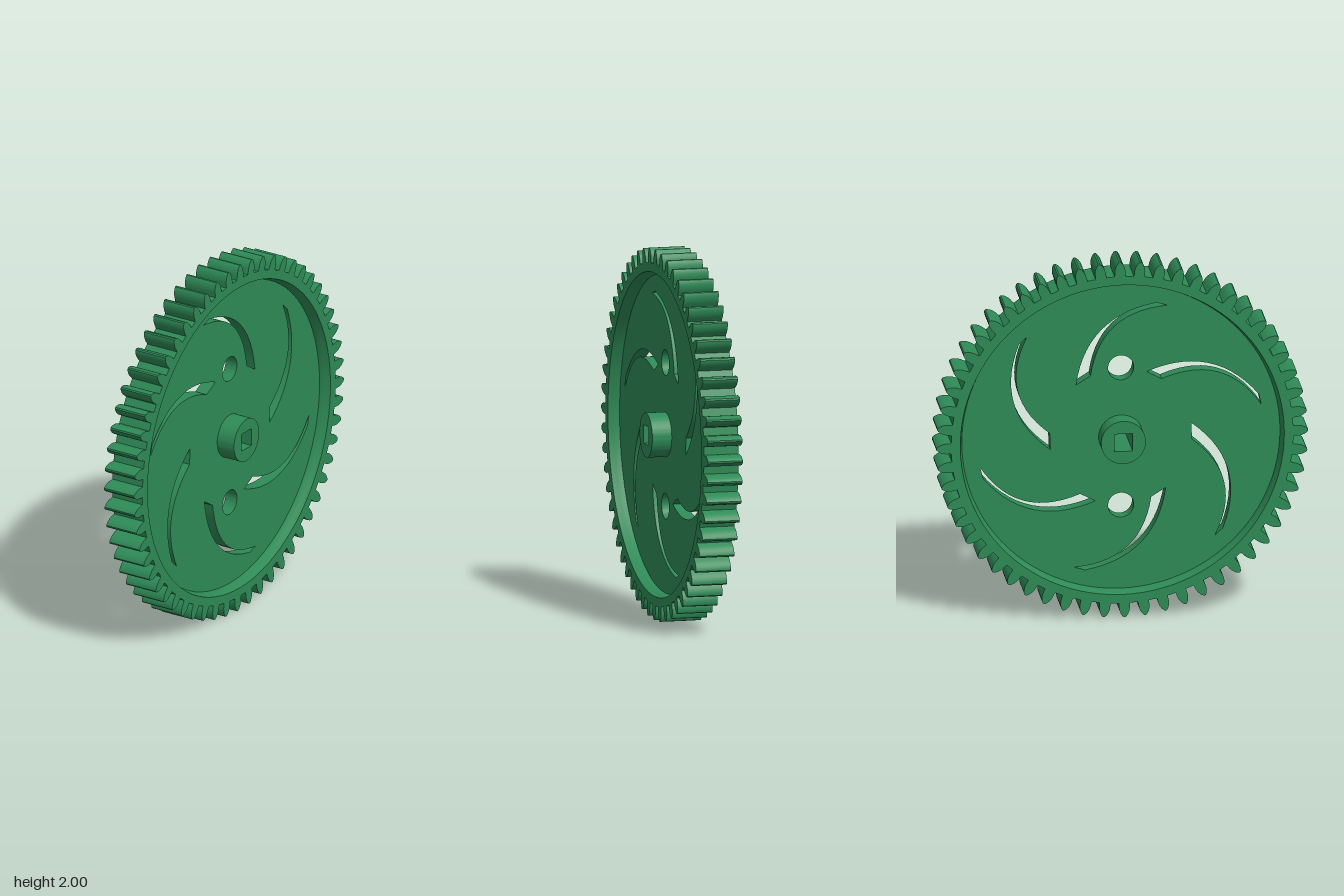
import * as THREE from 'three';
import { toCreasedNormals } from 'three/addons/utils/BufferGeometryUtils.js';

const TEETH = 56;
const RIM_WIDTH = 0.194, WEB_WIDTH = 0.074, HUB_WIDTH = 0.29;
const RECESS = 0.872;

const polar = (r, a) => new THREE.Vector2(r * Math.cos(a), r * Math.sin(a));
const rad = THREE.MathUtils.degToRad;

function circle(r, x = 0, y = 0) {
  return new THREE.Path().absarc(x, y, r, 0, Math.PI * 2, false);
}

function square(h) {
  return new THREE.Path([[-h, -h], [h, -h], [h, h], [-h, h]].map(p => new THREE.Vector2(...p)));
}

// Points of a bowed edge from a to b
function bow(a, b, height, n = 14) {
  const d = b.clone().sub(a);
  const normal = new THREE.Vector2(-d.y, d.x).normalize();
  return Array.from({ length: n + 1 }, (_, i) => {
    const t = i / n;
    return a.clone().addScaledVector(d, t).addScaledVector(normal, 4 * height * t * (1 - t));
  });
}

// Curved slot between two bowed edges
function slot(turn) {
  const at = (r, deg) => polar(r, rad(deg) + turn);
  return new THREE.Path([
    ...bow(at(0.77, 109), at(0.384, 64.8), 0.115),
    ...bow(at(0.77, 104.5), at(0.384, 51.1), 0.115).reverse(),
  ]);
}

// Toothed outline: half width of a tooth (in pitches) at each radius
function gearShape() {
  const flank = [[0.921, 0.29], [0.935, 0.275], [0.95, 0.27], [0.965, 0.24], [0.98, 0.185], [0.993, 0.11], [1, 0.04]];
  const pitch = Math.PI * 2 / TEETH;
  const pts = [];
  for (let i = 0; i < TEETH; i++) {
    const mid = Math.PI / 2 - rad(0.7) + i * pitch;
    for (const [r, w] of flank) pts.push(polar(r, mid - w * pitch));
    for (const [r, w] of [...flank].reverse()) pts.push(polar(r, mid + w * pitch));
  }
  return new THREE.Shape(pts);
}

// Extrude a profile along x, centred on x = 0
function plate(shape, width) {
  const g = new THREE.ExtrudeGeometry(shape, { depth: width, bevelEnabled: false, curveSegments: 48 });
  g.translate(0, 0, -width / 2);
  g.rotateY(Math.PI / 2);
  return toCreasedNormals(g, rad(32));
}

export function createModel() {
  const group = new THREE.Group();
  group.name = 'spurGear';
  const color = 0x2e8b57;
  const material = new THREE.MeshStandardMaterial({ color });
  const add = (name, geometry, mat = material) => {
    const mesh = new THREE.Mesh(geometry, mat);
    mesh.name = name;
    mesh.position.y = 1;
    group.add(mesh);
  };

  // Toothed rim
  const rim = gearShape();
  rim.holes.push(circle(RECESS));
  add('toothedRim', plate(rim, RIM_WIDTH));

  // Web with slots, two round holes and the square bore
  const web = new THREE.Shape().absarc(0, 0, RECESS + 0.01, 0, Math.PI * 2, false);
  for (let i = 0; i < 6; i++) web.holes.push(slot(i * Math.PI / 3));
  for (const y of [-0.387, 0.387]) web.holes.push(circle(0.069, 0, y));
  web.holes.push(square(0.049));
  add('web', plate(web, WEB_WIDTH));

  // Sloped inner wall of the recess on both faces
  const R = RIM_WIDTH / 2, W = WEB_WIDTH / 2;
  const wall = [[RECESS, -R], [0.866, -0.07], [0.856, -W], [0.856, W], [0.866, 0.07], [RECESS, R]];
  const lathe = new THREE.LatheGeometry(wall.map(p => new THREE.Vector2(...p)), 96);
  lathe.rotateZ(-Math.PI / 2);
  add('recessWall', lathe, new THREE.MeshStandardMaterial({ color, side: THREE.DoubleSide }));

  // Hub with square bore
  const hub = new THREE.Shape().absarc(0, 0, 0.12, 0, Math.PI * 2, false);
  hub.holes.push(square(0.049));
  add('hub', plate(hub, HUB_WIDTH));

  return group;
}
